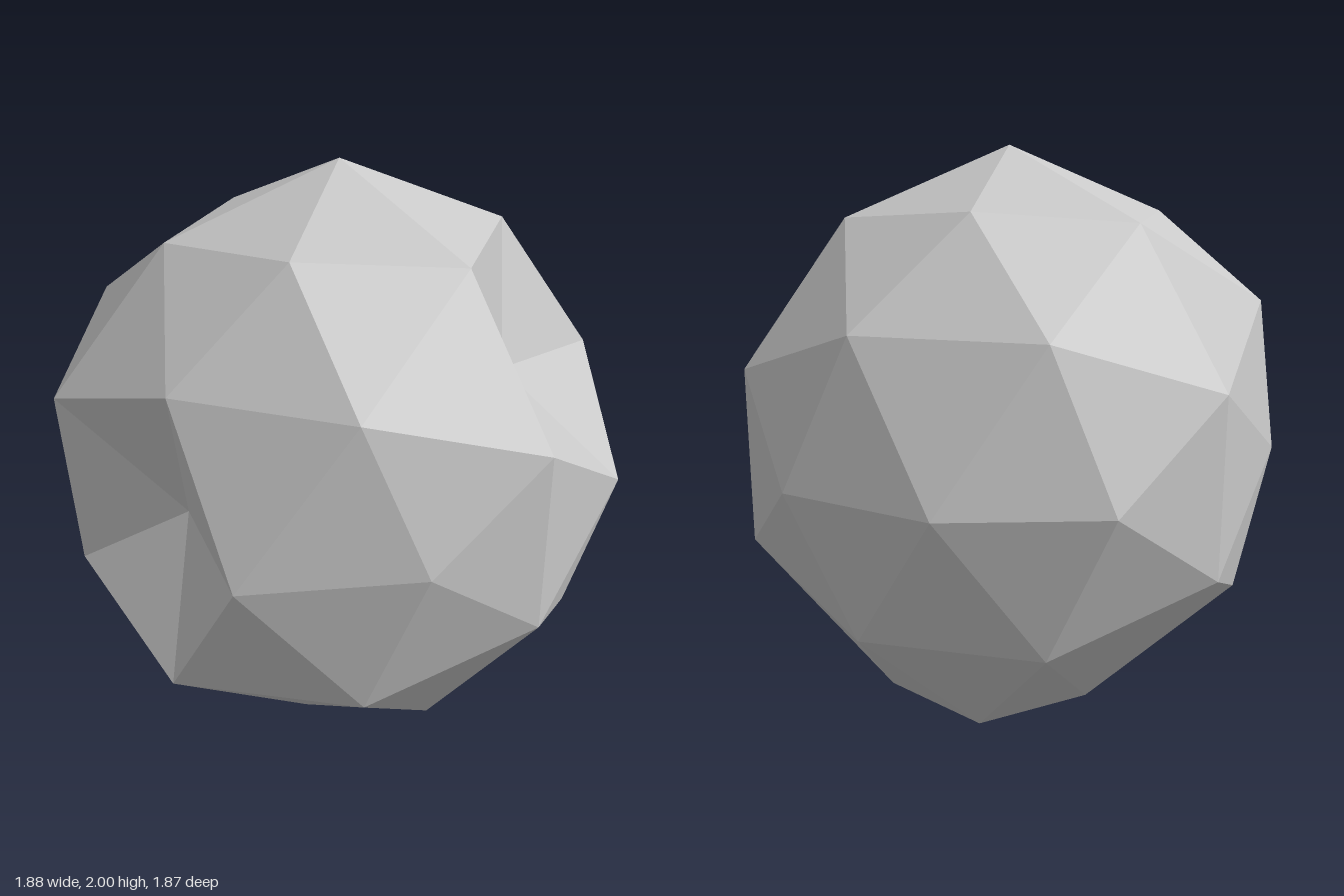
import * as THREE from 'three';
import { ConvexGeometry } from 'three/addons/geometries/ConvexGeometry.js';

const CENTRE = new THREE.Vector3(0, 0.966, 0.055);
const RADIUS = 0.988;

// Directions of a 42-point geodesic sphere with its five-fold axis along z
function geodesicDirections() {
  const dirs = [new THREE.Vector3(0, 0, 1)];
  const ring = (radius, z, startDeg) => {
    for (let k = 0; k < 5; k++) {
      const a = THREE.MathUtils.degToRad(startDeg + 72 * k);
      dirs.push(new THREE.Vector3(Math.cos(a) * radius, Math.sin(a) * radius, z));
    }
  };
  ring(0.5257, 0.8507, 0);
  ring(0.8944, 0.4472, 0);
  ring(0.8507, 0.5257, 36);
  ring(1, 0, 18);
  return dirs.flatMap((d) => [d.normalize(), d.clone().negate()]);
}

// Places to which the nearest point of the sphere is moved
const MOVED = [
  // crater floors: front, upper side, underside
  [0, 0.95, 0.725], [0.48, 1.33, -0.245], [0, 0.28, 0.055],
  // raised rim of the front crater
  [0.52, 0.98, 0.935], [0.14, 1.445, 0.865], [-0.44, 1.27, 0.93],
  [-0.405, 0.665, 0.91], [0.155, 0.45, 0.935],
  // drawn-in rim of the underside crater
  [-0.21, 0.05, 0.47], [0.2, 0.09, 0.41], [-0.4, 0.05, 0.055],
  [0.47, 0.025, 0.055], [-0.21, 0, -0.3], [0.2, 0.025, -0.36],
  // small bumps
  [0, 2, 0.055], [0.71, 1.475, 0.62], [-0.74, 1.49, 0.525],
  [-0.805, 0.98, 0.55], [0.85, 0.98, 0.47],
].map((p) => new THREE.Vector3(...p));

export function createModel() {
  const group = new THREE.Group();
  group.name = 'asteroid';

  const dirs = geodesicDirections();
  const points = dirs.map((d) => d.clone().multiplyScalar(RADIUS).add(CENTRE));
  const nearest = (list, p) =>
    list.reduce((best, q, i) => (q.distanceToSquared(p) < list[best].distanceToSquared(p) ? i : best), 0);

  // Match against the untouched sphere, then shift the points
  const sphere = points.map((p) => p.clone());
  MOVED.forEach((m) => points[nearest(sphere, m)].copy(m));

  // Triangulate the regular sphere, then carry each corner to its moved point
  const geometry = new ConvexGeometry(dirs);
  const pos = geometry.attributes.position;
  const v = new THREE.Vector3();
  for (let i = 0; i < pos.count; i++) {
    const p = points[nearest(dirs, v.fromBufferAttribute(pos, i))];
    pos.setXYZ(i, p.x, p.y, p.z);
  }
  geometry.computeVertexNormals();

  const stone = new THREE.MeshStandardMaterial({ color: 0xc8c8c8, flatShading: true });
  stone.name = 'light grey stone';
  const rock = new THREE.Mesh(geometry, stone);
  rock.name = 'crateredRock';
  group.add(rock);
  return group;
}
